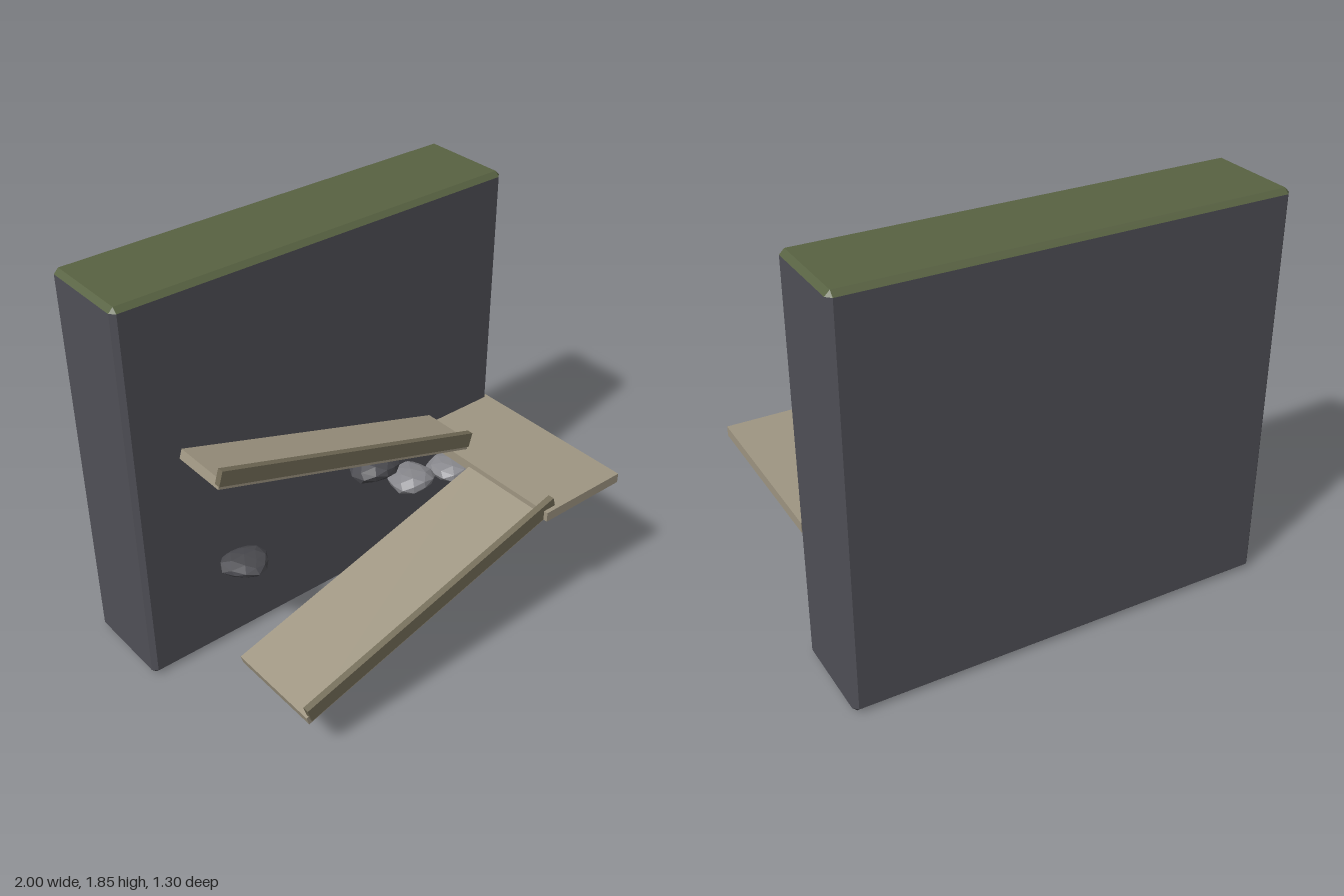
import * as THREE from 'three';

const mat = (name, color, flat = false) => {
  const m = new THREE.MeshStandardMaterial({ color, flatShading: flat });
  m.name = name;
  return m;
};

// Outline of the chamfered block at height y; inset pulls the sides in
function ring(y, inset) {
  const w = 1, d = 0.225, c = 0.022, zc = -0.425;
  const pts = [];
  for (const [sx, sz, swap] of [[1, 1, 0], [1, -1, 1], [-1, -1, 0], [-1, 1, 1]]) {
    const onZ = [sx * (w - c), y, zc + sz * (d - inset)];
    const onX = [sx * (w - inset), y, zc + sz * (d - c)];
    pts.push(...(swap ? [onX, onZ] : [onZ, onX]));
  }
  return pts;
}

// Skin between successive rings, with an optional flat lid at either end
function loft(rings, capBottom, capTop) {
  const pos = [];
  const tri = (a, b, c) => pos.push(...a, ...b, ...c);
  for (let r = 0; r < rings.length - 1; r++) {
    const lo = rings[r], hi = rings[r + 1];
    for (let i = 0; i < lo.length; i++) {
      const j = (i + 1) % lo.length;
      tri(lo[i], lo[j], hi[j]);
      tri(lo[i], hi[j], hi[i]);
    }
  }
  const b = rings[0], t = rings[rings.length - 1];
  for (let i = 1; i < b.length - 1; i++) {
    if (capBottom) tri(b[0], b[i + 1], b[i]);
    if (capTop) tri(t[0], t[i], t[i + 1]);
  }
  const g = new THREE.BufferGeometry();
  g.setAttribute('position', new THREE.Float32BufferAttribute(pos, 3));
  g.computeVertexNormals();
  return g;
}

// Faceted, squashed boulder with seeded bumps
function rockGeometry(seed, rx, ry, rz) {
  const g = new THREE.IcosahedronGeometry(1, 1);
  const p = g.attributes.position, v = new THREE.Vector3();
  for (let i = 0; i < p.count; i++) {
    v.fromBufferAttribute(p, i);
    const bump = Math.sin(v.x * 3.1 + seed) * Math.cos(v.y * 2.7 + seed * 2) + Math.sin(v.z * 4.3 + seed * 3);
    v.multiplyScalar(0.95 + 0.07 * bump);
    p.setXYZ(i, v.x * rx, v.y * ry, v.z * rz);
  }
  g.computeVertexNormals();
  return g;
}

export function createModel() {
  const group = new THREE.Group();
  const stone = mat('wall stone', 0x505057);
  const moss = mat('moss', 0x586242);
  const plank = mat('path', 0x9f9682);
  const kerb = mat('kerb', 0x726b57);
  const lightRock = mat('light rock', 0x85858a, true);
  const darkRock = mat('dark rock', 0x4a4a4f, true);

  const add = (name, geometry, material, parent = group) => {
    const mesh = new THREE.Mesh(geometry, material);
    mesh.name = name;
    parent.add(mesh);
    return mesh;
  };
  const box = (name, size, at, material, tilt = 0) => {
    const mesh = add(name, new THREE.BoxGeometry(...size), material);
    mesh.position.set(...at);
    mesh.rotation.z = tilt;
  };

  // Cliff wall and its mossy cap
  const c = 0.022;
  add('cliffWall', loft([ring(0, c), ring(c, 0), ring(1.828, 0)], true, false), stone);
  add('mossCap', loft([ring(1.828, 0), ring(1.85, c)], false, true), moss);

  // Ramps with a raised kerb on the outer edge
  const ramp = (name, deckY, kerbY, z0, z1, tilt) => {
    box(name + 'Deck', [1.43, 0.045, z1 - z0], [-0.08, deckY, (z0 + z1) / 2], plank, tilt);
    box(name + 'Kerb', [1.43, 0.07, 0.03], [-0.08, kerbY, z1], kerb, tilt);
  };
  ramp('upperRamp', 0.9, 0.935, -0.21, 0.076, -0.294);
  ramp('lowerRamp', 0.43, 0.47, 0.155, 0.615, 0.294);

  // Turning platform
  box('landing', [0.461, 0.047, 0.865], [0.7705, 0.643, 0.2175], plank);

  // Boulders set into the wall
  const rocks = [
    [-0.535, 0.46, 0.118, 0.043, darkRock],
    [0.205, 0.64, 0.13, 0.057, darkRock],
    [0.435, 0.47, 0.12, 0.052, lightRock],
    [0.695, 0.42, 0.122, 0.056, lightRock],
  ];
  rocks.forEach(([x, y, rx, ry, material], i) => {
    const rock = add('rock' + (i + 1), rockGeometry(i * 1.7 + 0.6, rx, ry, 0.12), material);
    rock.position.set(x, y, -0.13);
  });

  return group;
}
